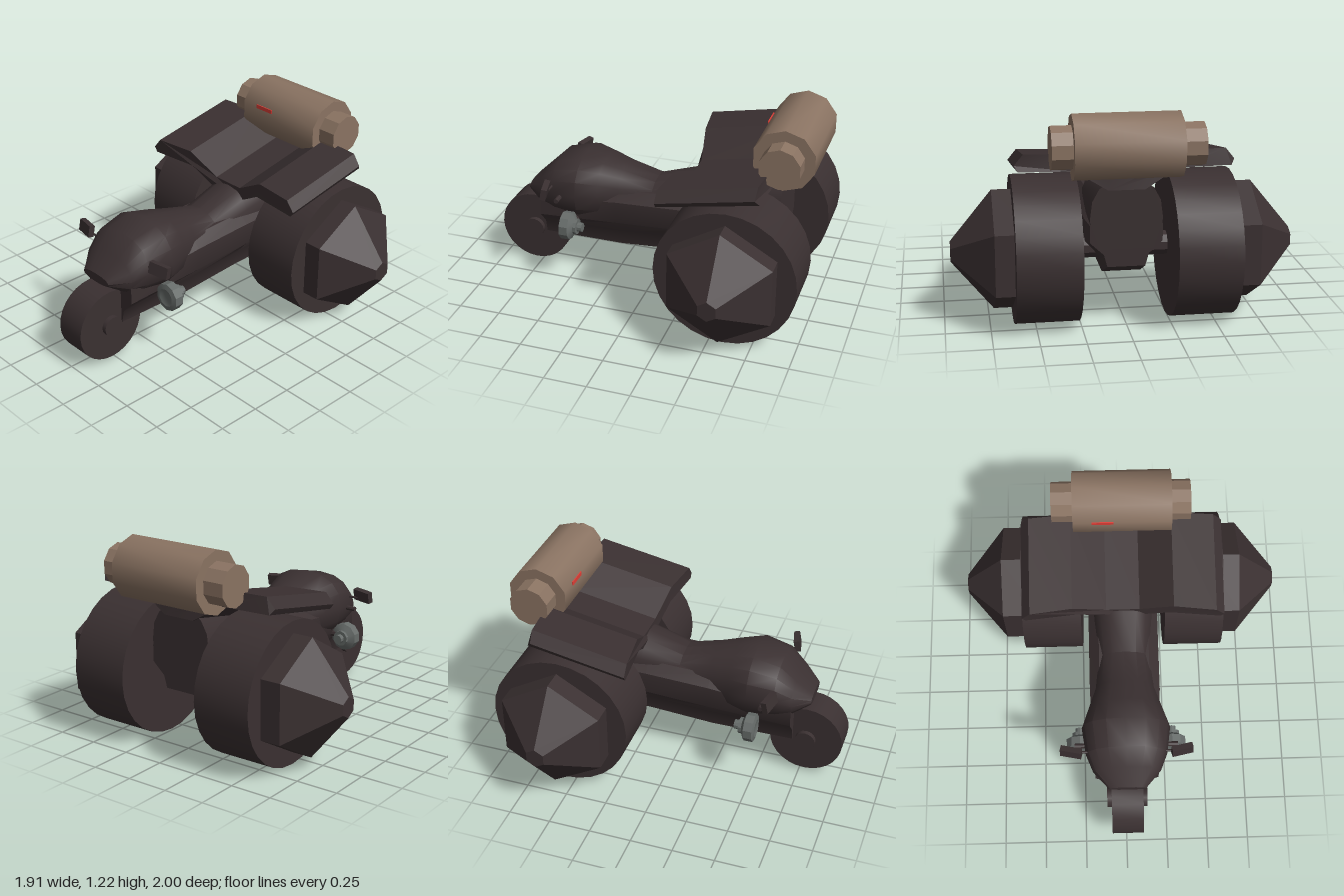
import * as THREE from 'three';
import { toCreasedNormals } from 'three/addons/utils/BufferGeometryUtils.js';

const mat = (name, color) => {
  const m = new THREE.MeshStandardMaterial({ color });
  m.name = name;
  return m;
};

// Skin closed rings (counterclockwise seen from +z), ordered from back to front
function loft(rings, crease) {
  const n = rings[0].length, pos = [], idx = [];
  rings.forEach(r => r.forEach(p => pos.push(...p)));
  for (let i = 0; i < rings.length - 1; i++) {
    for (let j = 0; j < n; j++) {
      const a = i * n + j, b = i * n + (j + 1) % n;
      idx.push(a, b, a + n, b, b + n, a + n);
    }
  }
  const cap = (ring, base, flip) => {
    const tris = THREE.ShapeUtils.triangulateShape(ring.map(p => new THREE.Vector2(p[0], p[1])), []);
    tris.forEach(([a, b, c]) => idx.push(base + a, base + (flip ? c : b), base + (flip ? b : c)));
  };
  cap(rings[0], 0, true);
  cap(rings[rings.length - 1], (rings.length - 1) * n, false);
  const g = new THREE.BufferGeometry();
  g.setAttribute('position', new THREE.Float32BufferAttribute(pos, 3));
  g.setIndex(idx);
  return toCreasedNormals(g, crease);
}

// Cylinder or cone frustum lying along x, from x0 to x1, with a corner at the top
function drum(x0, x1, r0, r1, sides, crease = 0.5) {
  const g = new THREE.CylinderGeometry(r1, r0, x1 - x0, sides);
  g.rotateY(Math.PI / 2).rotateZ(-Math.PI / 2).translate((x0 + x1) / 2, 0, 0);
  return toCreasedNormals(g, crease);
}

export function createModel() {
  const dark = mat('dark body', 0x3a3031);
  const tan = mat('tan canister', 0x8a7362);
  const grey = mat('grey metal', 0x666b69);
  const red = mat('red mark', 0xe04038);

  const model = new THREE.Group();
  model.name = 'tricycle';
  const add = (name, geo, material, x = 0, y = 0, z = 0, parent = model) => {
    const m = new THREE.Mesh(geo, material);
    m.name = name;
    m.position.set(x, y, z);
    parent.add(m);
    return m;
  };
  const cx = 0.008;

  // Upper cowl: z, half width, bottom, top
  const cowl = [
    [-0.79, 0.2, 0.4, 0.86], [-0.23, 0.18, 0.38, 0.755], [0, 0.165, 0.38, 0.68],
    [0.2, 0.18, 0.38, 0.735], [0.32, 0.22, 0.38, 0.765], [0.445, 0.262, 0.38, 0.79],
    [0.605, 0.24, 0.4, 0.75], [0.7, 0.2, 0.43, 0.655], [0.8, 0.11, 0.5, 0.555],
  ].map(([z, w, lo, hi]) => Array.from({ length: 16 }, (_, k) => {
    const a = (k / 16) * Math.PI * 2, c = Math.cos(a), s = Math.sin(a);
    return [cx + w * Math.sign(c) * Math.abs(c) ** 0.85,
      (lo + hi) / 2 + (hi - lo) / 2 * Math.sign(s) * Math.abs(s) ** 0.85, z];
  }));
  add('cowl', loft(cowl, 0.6), dark);

  // Lower chassis: z, width scale, bottom, top
  const chassis = [
    [-0.79, 0.95, 0.36, 0.64], [-0.6, 1, 0.27, 0.64], [-0.19, 1, 0.26, 0.64],
    [0.2, 1, 0.235, 0.625], [0.7, 0.9, 0.23, 0.555],
  ].map(([z, s, lo, hi]) => {
    const h = hi - lo;
    const side = [[0.11, lo], [0.13, lo + h * 0.25], [0.21, lo + h * 0.5], [0.21, lo + h * 0.85], [0.15, hi]];
    return [...side.map(([x, y]) => [cx + x * s, y, z]),
      ...[...side].reverse().map(([x, y]) => [cx - x * s, y, z])];
  });
  add('chassis', loft(chassis, 0.7), dark);

  // Folded rear deck: x, height offset, front z, back z
  const topHalf = [[0.1, -0.115, -0.235, -0.79], [0.3, 0, -0.2, -0.76], [0.55, 0, -0.17, -0.74], [0.6, -0.062, -0.17, -0.735]];
  const lowHalf = [[0.1, -0.2, -0.235, -0.8], [0.28, -0.092, -0.2, -0.78], [0.58, -0.092, -0.17, -0.76]];
  const mirror = pts => pts.map(([x, ...rest]) => [-x, ...rest]);
  const outline = [...lowHalf, ...[...topHalf].reverse(), ...mirror(topHalf), ...mirror(lowHalf).reverse()];
  const deck = [
    outline.map(([x, dy, , zb]) => [cx + x, 0.995 + dy, zb]),
    outline.map(([x, dy, zf]) => [cx + x, 0.886 + dy, zf]),
  ];
  add('rearDeck', loft(deck, 0.3), dark);

  // Front wheel and hub
  add('frontWheel', drum(-0.094, 0.094, 0.22, 0.22, 28), dark, cx, 0.245, 0.78);
  add('frontHub', drum(-0.122, 0.122, 0.062, 0.062, 16), dark, cx, 0.245, 0.78);

  // Canister across the back
  add('canister', drum(-0.292, 0.292, 0.182, 0.182, 10, 0.7), tan, 0.016, 1.045, -0.82);
  add('canisterEnds', drum(-0.412, 0.412, 0.12, 0.12, 10), tan, 0.01, 1.045, -0.82);
  add('redMark', new THREE.BoxGeometry(0.13, 0.024, 0.006), red, -0.1, 1.098, -0.645);

  // Headlight profile turned around z: radius, z
  const lampProfile = [[0, -0.065], [0.028, -0.065], [0.028, -0.035], [0.048, -0.035], [0.048, -0.015],
    [0.085, 0.005], [0.085, 0.058], [0.055, 0.066], [0.04, 0.06], [0, 0.06]]
    .map(([r, z]) => new THREE.Vector2(r, z));
  const lampGeo = toCreasedNormals(new THREE.LatheGeometry(lampProfile, 10).rotateX(Math.PI / 2), 0.5);

  for (const s of [1, -1]) {
    const side = s > 0 ? 'left' : 'right';
    const span = (a, b) => [Math.min(s * a, s * b), Math.max(s * a, s * b)];

    // Rear wheel with a six-sided pointed hub
    add(side + 'RearWheel', drum(...span(0.255, 0.611), 0.415, 0.415, 28), dark, cx, 0.42, -0.58);
    add(side + 'HubBase', drum(...span(0.5, 0.725), 0.345, 0.345, 6), dark, 0, 0.42, -0.58);
    const [r0, r1] = s > 0 ? [0.345, 0.06] : [0.06, 0.345];
    add(side + 'HubCone', drum(...span(0.725, 0.957), r0, r1, 6), dark, 0, 0.42, -0.58);

    // Rear axle
    add(side + 'Axle', drum(...span(0.1, 0.3), 0.07, 0.07, 10), dark, cx, 0.42, -0.58);

    // Headlight and its bracket
    add(side + 'Headlight', lampGeo, grey, cx + s * 0.277, 0.4, 0.455);
    add(side + 'HeadlightBracket', drum(...span(0.15, 0.26), 0.02, 0.02, 8), dark, cx, 0.41, 0.46);

    // Handle grip
    add(side + 'Grip', drum(...span(0.18, 0.305), 0.015, 0.015, 8), dark, cx, 0.565, 0.545);

    // Mirror on a thin stalk
    add(side + 'MirrorStalk', drum(...span(0.18, 0.29), 0.007, 0.007, 6), dark, cx, 0.622, 0.6);
    const mirrorPlate = add(side + 'Mirror', new THREE.BoxGeometry(0.125, 0.07, 0.035), dark, cx + s * 0.325, 0.642, 0.603);
    mirrorPlate.rotation.set(-0.2, s * 0.22, 0);
  }
  return model;
}
